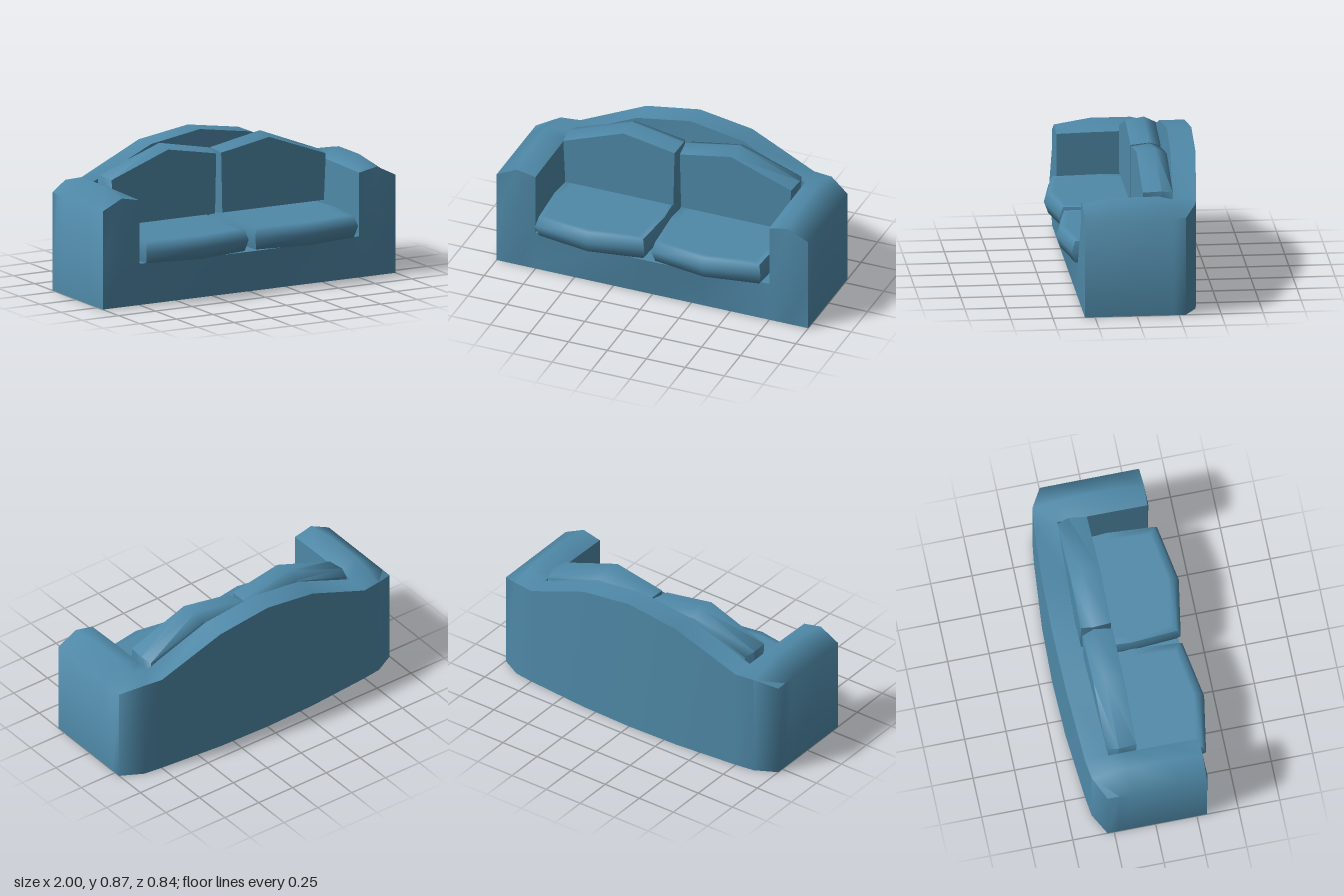
import * as THREE from 'three';
import { toCreasedNormals } from 'three/addons/utils/BufferGeometryUtils.js';

const flipX = ([x, y, z]) => [-x, y, z];

// Triangles for a grid of points; columns run right and rows run up as seen from outside
function patch(out, rows) {
  const tri = (...t) => {
    const v = t.map(p => new THREE.Vector3(...p));
    if (new THREE.Triangle(...v).getArea() > 1e-8) t.forEach(p => out.push(...p));
  };
  for (let i = 0; i < rows.length - 1; i++) {
    for (let j = 0; j < rows[i].length - 1; j++) {
      const a = rows[i][j], b = rows[i][j + 1], c = rows[i + 1][j + 1], d = rows[i + 1][j];
      tri(a, b, c);
      tri(a, c, d);
    }
  }
}

function toMesh(name, positions, crease, material) {
  const g = new THREE.BufferGeometry();
  g.setAttribute('position', new THREE.Float32BufferAttribute(positions, 3));
  const mesh = new THREE.Mesh(toCreasedNormals(g, crease), material);
  mesh.name = name;
  return mesh;
}

// Arms, back, seat deck and plinth: one half, then its mirror image
function frame(material) {
  const deckY = 0.25;
  const atY = (pts, y) => pts.map(([x, , z]) => [x, y, z]);

  // Crest of the back, from the middle outwards
  const backOuter = [[0, 0.87, -0.42], [0.34, 0.82, -0.411], [0.75, 0.643, -0.376]];
  const backInner = [[0, 0.87, -0.275], [0.34, 0.82, -0.262], [0.75, 0.643, -0.235]];
  // Arm top, from front to rear: inner edge, ridge, outer edge
  const armTop = [
    [[0.75, 0.635, 0.31], [0.87, 0.66, 0.313], [1, 0.595, 0.31]],
    [[0.75, 0.64, 0.1], [0.87, 0.695, 0.1], [1, 0.595, 0.17]],
    [[0.75, 0.643, -0.14], [0.87, 0.695, -0.14], [1, 0.595, -0.14]],
    [[0.75, 0.643, -0.235], [0.87, 0.67, -0.25], [1, 0.595, -0.22]],
    [[0.75, 0.643, -0.376], [0.87, 0.643, -0.36], [1, 0.595, -0.29]],
  ];
  const rear = [...backOuter, ...armTop[4].slice(1)];
  const rim = [...armTop.map(r => r[2]), ...rear.slice(0, -1).reverse()];
  const innerEdge = armTop.slice(0, 4).map(r => r[0]).reverse();
  const deckFront = [[0, deckY, 0.35], [0.34, deckY, 0.345], [0.75, deckY, 0.31]];

  const patches = [
    [atY(rim, 0), rim],                                                // outer wall
    [atY(rear, 0), rear.map(([x]) => [x, 0, 0.31])],                   // underside
    [armTop[0].map(([x]) => [x, 0, 0.31]),                             // arm front
      [[0.75, deckY, 0.31], [0.87, 0.3, 0.34], [1, 0.3, 0.31]], armTop[0]],
    armTop,
    [atY(innerEdge, deckY), innerEdge],                                // arm inside
    [backInner, backOuter],                                            // back crest
    [backInner.map(([x]) => [x, deckY, -0.235]), backInner],           // back inside
    [deckFront, backInner.map(([x]) => [x, deckY, -0.235])],           // seat deck
    [deckFront.map(([x]) => [x, 0, 0.31]), deckFront],                 // plinth front
  ];
  const out = [];
  for (const rows of patches) {
    patch(out, rows);
    patch(out, rows.map(r => r.map(flipX).reverse()));
  }
  return toMesh('frame', out, 1.13, material);
}

// Cushion: a stack of scaled outlines; place(u, v, layerHeight) gives the point
function cushion(name, outline, layers, place, material) {
  const loop = [...outline, outline[0]];
  const first = layers[0], last = layers[layers.length - 1];
  const cap = ([su, sv, h]) => [[0, 0, h], [su * 0.88, sv * 0.88, h]];
  const all = [...cap(first), ...layers, ...cap(last).reverse()];
  const out = [];
  patch(out, all.map(([su, sv, h]) => loop.map(([u, v]) => place(u * su, v * sv, h))));
  return toMesh(name, out, 1.25, material);
}

export function createModel() {
  const fabric = new THREE.MeshStandardMaterial({ color: 0x4f89a8 });
  fabric.name = 'blue fabric';
  const model = new THREE.Group();
  model.name = 'sofa';
  model.add(frame(fabric));

  // Seat cushions, with a bowed front edge
  const seat = [[-0.35, 0.27], [0, 0.33], [0.35, 0.27], [0.37, -0.04],
    [0.35, -0.31], [-0.35, -0.31], [-0.37, -0.04]];
  const seatLayers = [[0.955, 0.92, 0.255], [1, 1, 0.325], [0.955, 0.92, 0.385]];
  for (const [side, cx] of [['right', -0.382], ['left', 0.364]]) {
    model.add(cushion(side + 'SeatCushion', seat, seatLayers,
      (u, v, h) => [cx + u, h, 0.09 + v], fabric));
  }

  // Back cushions, with a peaked top edge
  const back = [[-0.355, -0.215], [0.36, -0.215], [0.368, 0.18], [0.03, 0.245], [-0.368, 0.09]];
  const backLayers = [[0.95, 0.86, -0.24], [1, 1, -0.17], [0.97, 0.92, -0.06]];
  const mirrored = back.map(([u, v]) => [-u, v]).reverse();
  for (const [side, outline, cx] of [['right', back, -0.37], ['left', mirrored, 0.378]]) {
    model.add(cushion(side + 'BackCushion', outline, backLayers,
      (u, v, h) => [cx + u, 0.6 + v, h], fabric));
  }
  return model;
}
